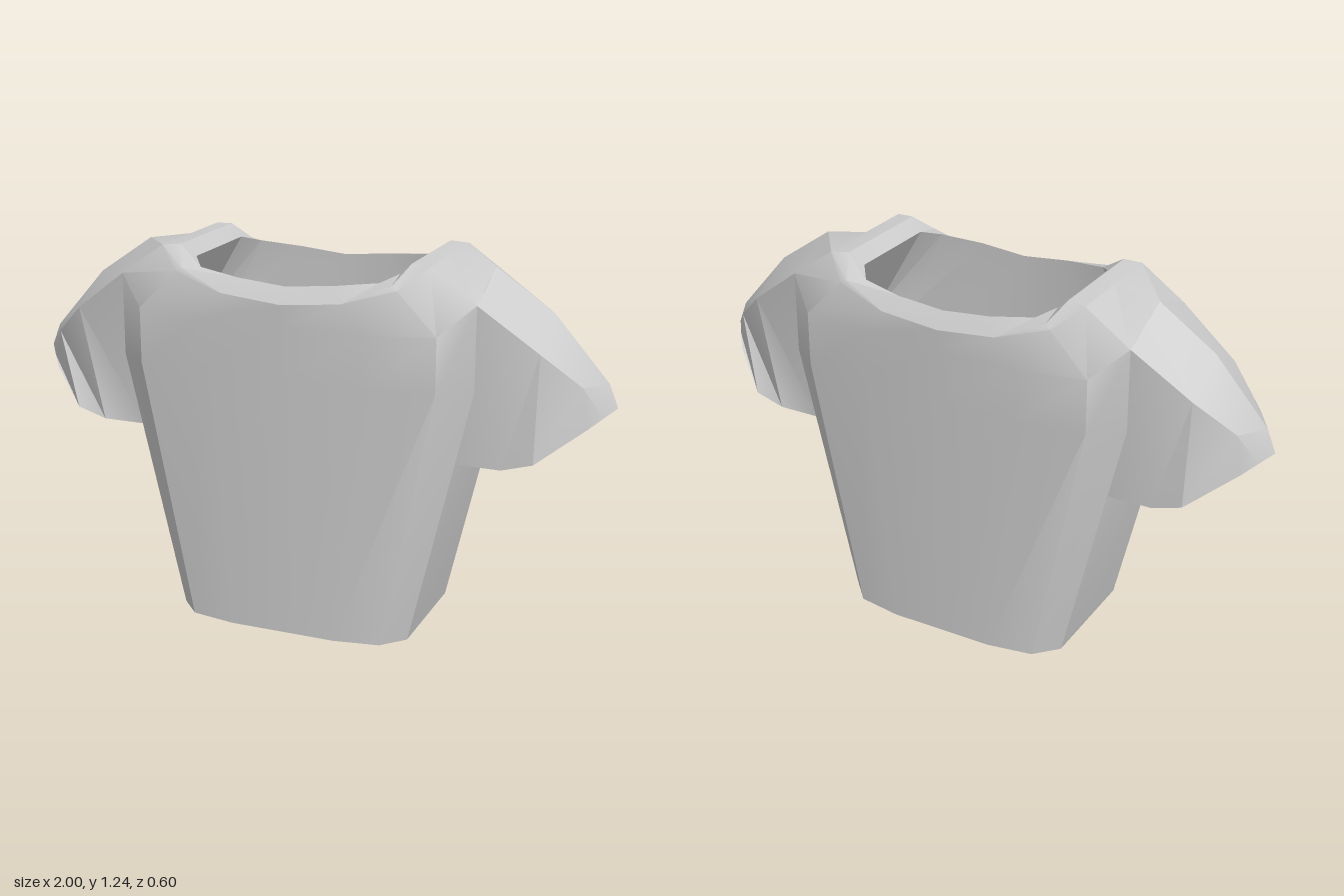
import * as THREE from 'three';
import { toCreasedNormals } from 'three/addons/utils/BufferGeometryUtils.js';

const material = new THREE.MeshStandardMaterial({ color: 0xcccccc, side: THREE.DoubleSide });

// Skin a list of equally long point rows; closed joins the ends of each row.
function loft(name, rows, closed) {
  const pos = [];
  const tri = (a, b, c) => {
    const [p, q, r] = [a, b, c].map((v) => new THREE.Vector3(...v));
    if (new THREE.Triangle(p, q, r).getArea() > 1e-6) pos.push(...a, ...b, ...c);
  };
  const n = rows[0].length;
  for (let i = 0; i < rows.length - 1; i++) {
    for (let j = 0; j < (closed ? n : n - 1); j++) {
      const k = (j + 1) % n;
      tri(rows[i][j], rows[i][k], rows[i + 1][k]);
      tri(rows[i][j], rows[i + 1][k], rows[i + 1][j]);
    }
  }
  const geometry = new THREE.BufferGeometry();
  geometry.setAttribute('position', new THREE.Float32BufferAttribute(pos, 3));
  const mesh = new THREE.Mesh(toCreasedNormals(geometry, 0.5), material);
  mesh.name = name;
  return mesh;
}

const flipX = ([x, y, z]) => [-x, y, z];
const flipZ = ([x, y, z]) => [x, y, -z];

// Quarter section (front centre to side centre) mirrored to a full ring
function ring(q) {
  const half = [...q, ...q.slice(0, -1).reverse().map(flipZ)];
  return [...half, ...half.slice(1, -1).reverse().map(flipX)];
}

function torso() {
  const hem = [[0, 0, 0.3], [0.18, 0, 0.3], [0.33, 0, 0.275], [0.4, 0, 0.2], [0.4, 0, 0]];
  const quarters = [
    hem,
    // chest
    [[0, 0.86, 0.3], [0.28, 0.86, 0.3], [0.5, 0.86, 0.275], [0.6, 0.86, 0.2], [0.6, 0.86, 0]],
    // shoulder edge
    [[0, 1.03, 0.3], [0.27, 1.03, 0.3], [0.5, 1.04, 0.275], [0.6, 1.13, 0.2], [0.6, 1.21, 0]],
    // shoulder top
    [[0, 1.1, 0.3], [0.2, 1.12, 0.3], [0.37, 1.17, 0.27], [0.45, 1.235, 0.2], [0.45, 1.235, 0]],
    // neck, outer then inner edge
    [[0, 1.1, 0.3], [0.2, 1.12, 0.3], [0.35, 1.18, 0.265], [0.39, 1.24, 0.19], [0.39, 1.24, 0]],
    [[0, 1.15, 0.26], [0.16, 1.165, 0.26], [0.3, 1.18, 0.23], [0.345, 1.2, 0.17], [0.345, 1.2, 0]],
    // lining
    [[0, 0.86, 0.26], [0.25, 0.86, 0.26], [0.46, 0.86, 0.24], [0.55, 0.86, 0.18], [0.55, 0.86, 0]],
    [[0, 0, 0.26], [0.16, 0, 0.26], [0.3, 0, 0.235], [0.35, 0, 0.17], [0.35, 0, 0]],
    hem,
  ];
  return loft('torso', quarters.map(ring), true);
}

function sleeve(side) {
  const group = new THREE.Group();
  group.name = side > 0 ? 'leftSleeve' : 'rightSleeve';
  const place = (row) => (side > 0 ? row : row.map(flipX).reverse());

  // Cuff edge, shoulder crease and ridge, running from torso to tip
  const cuff = [[0.54, 0.62, 0.195], [0.69, 0.62, 0.195], [0.79, 0.65, 0.195], [0.93, 0.75, 0.09]];
  const crease = [[0.6, 1.13, 0.199], [0.79, 0.99, 0.165], [0.91, 0.88, 0.095], [0.965, 0.775, 0.045]];
  const ridge = [[0.6, 1.21, 0], [0.79, 1.08, 0], [0.97, 0.875, 0], [1, 0.8, 0]];
  const shell = cuff.map((c, i) => place([flipZ(c), flipZ(crease[i]), ridge[i], crease[i], c]));
  group.add(loft('sleeveShell', shell, false));

  // Thick cuff border and the hollow behind it
  const loop = (tip, edge) => [tip, ...[...edge].reverse(), ...edge.map(flipZ)];
  const outer = loop(ridge[3], cuff);
  const inner = loop([0.94, 0.75, 0],
    [[0.59, 0.625, 0.13], [0.69, 0.625, 0.13], [0.77, 0.665, 0.13], [0.88, 0.72, 0.065]]);
  const deep = inner.map(([x, y, z]) => [0.74 + (x - 0.74) * 0.75, y + 0.16, z * 0.75]);
  const end = inner.map(() => [0.74, 0.88, 0]);
  group.add(loft('cuff', [outer, inner, deep, end].map(place), true));
  return group;
}

export function createModel() {
  const model = new THREE.Group();
  model.name = 'shirt';
  model.add(torso(), sleeve(1), sleeve(-1));
  return model;
}
